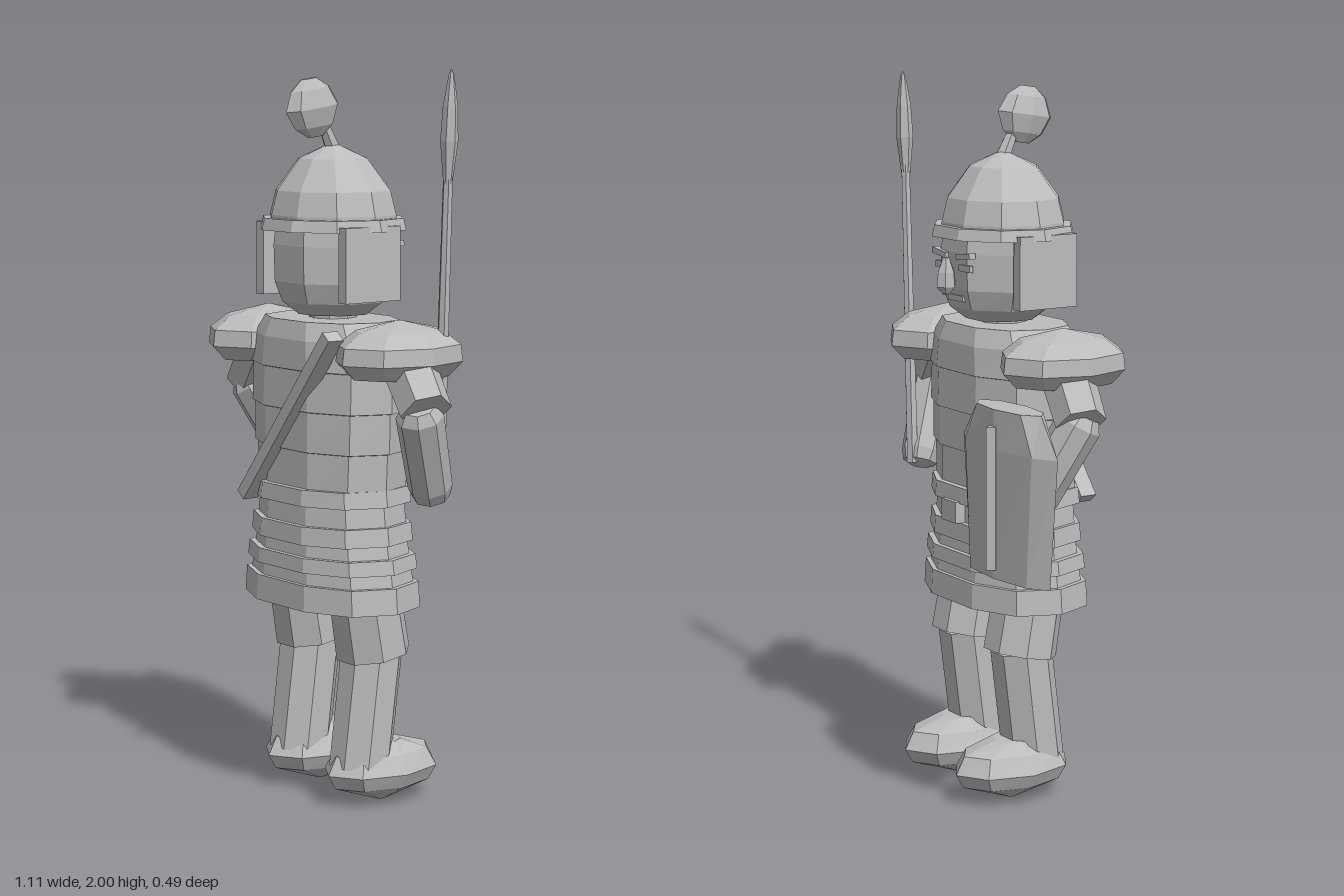
import * as THREE from 'three';

const grey = new THREE.MeshStandardMaterial({ color: 0xbcbcbc });
grey.name = 'plain grey';

const CX = 0.06, CZ = 0.055; // body axis

// Closed faceted solid from stacked oval sections [y, rx, rz]; pow < 1 squares the oval
function loft(sections, sides, { phase = 0, pow = 1 } = {}) {
  const sq = (v) => Math.sign(v) * Math.abs(v) ** pow;
  const rings = sections.map(([y, rx, rz = rx]) =>
    Array.from({ length: sides }, (_, i) => {
      const a = phase + (i / sides) * Math.PI * 2;
      return [rx * sq(Math.cos(a)), y, rz * sq(Math.sin(a))];
    }));
  const pos = [];
  const tri = (...pts) => pts.forEach((p) => pos.push(...p));
  const bottom = [0, sections[0][0], 0];
  const top = [0, sections[sections.length - 1][0], 0];
  for (let i = 0; i < sides; i++) {
    const j = (i + 1) % sides;
    tri(bottom, rings[0][i], rings[0][j]);
    for (let k = 0; k < rings.length - 1; k++) {
      const lo = rings[k], hi = rings[k + 1];
      tri(lo[i], hi[i], lo[j]);
      tri(lo[j], hi[i], hi[j]);
    }
    const last = rings[rings.length - 1];
    tri(top, last[j], last[i]);
  }
  const g = new THREE.BufferGeometry();
  g.setAttribute('position', new THREE.Float32BufferAttribute(pos, 3));
  g.computeVertexNormals();
  return g;
}

export function createModel() {
  const model = new THREE.Group();
  model.name = 'armouredSoldier';

  const add = (name, geometry, x = 0, y = 0, z = 0) => {
    const m = new THREE.Mesh(geometry, grey);
    m.name = name;
    m.position.set(x, y, z);
    model.add(m);
    return m;
  };
  const box = (name, w, h, d, x, y, z) => add(name, new THREE.BoxGeometry(w, h, d), x, y, z);

  // Faceted solid laid along the line from a to b; stations are [fraction, radius]
  const limb = (name, a, b, stations, sides = 8) => {
    const from = new THREE.Vector3(...a), dir = new THREE.Vector3(...b).sub(from);
    const len = dir.length();
    const g = loft(stations.map(([t, r]) => [t * len, r, r]), sides, { phase: Math.PI / sides });
    const m = add(name, g, ...a);
    m.quaternion.setFromUnitVectors(new THREE.Vector3(0, 1, 0), dir.normalize());
    return m;
  };

  // Torso: overlapping plates with a small lip under each one
  const waist = [[0.84, 0.24, 0.158], [0.98, 0.255, 0.162], [1.09, 0.266, 0.166],
    [1.2, 0.272, 0.168], [1.28, 0.25, 0.165], [1.33, 0.21, 0.15]];
  const plates = [];
  waist.forEach(([y, rx, rz], i) => {
    if (i > 0 && i < 4) plates.push([y - 0.002, rx - 0.008, rz - 0.006]);
    plates.push([y, rx, rz]);
  });
  add('cuirass', loft(plates, 10, { pow: 0.85 }), CX, 0, CZ + 0.005);

  // Skirt: flared bands alternating wide and narrow
  const bands = [[0.55, 0.62, 0.292, 0.184], [0.62, 0.655, 0.27, 0.168], [0.655, 0.695, 0.277, 0.183],
    [0.695, 0.73, 0.253, 0.164], [0.73, 0.78, 0.255, 0.182], [0.78, 0.835, 0.238, 0.162],
    [0.835, 0.88, 0.248, 0.18]];
  for (const [y0, y1, rx, rz] of bands) {
    add('skirtBand', loft([[y0, rx, rz], [y1, rx - 0.006, rz - 0.003]], 10, { pow: 0.85 }), CX, 0, CZ + 0.005);
  }
  box('beltBuckle', 0.075, 0.06, 0.03, CX, 0.81, -0.11);

  // Scabbard slung across the back
  const scabbard = box('scabbard', 0.035, 0.61, 0.05, 0.085, 1.07, 0.222);
  scabbard.rotation.z = -0.69;

  // Neck and head
  add('neck', loft([[1.3, 0.065], [1.37, 0.065]], 8), CX, 0, CZ);
  add('head', loft([[1.34, 0.1, 0.1], [1.375, 0.148, 0.145], [1.43, 0.172, 0.165],
    [1.53, 0.175, 0.168], [1.61, 0.165, 0.16]], 8, { phase: Math.PI / 8 }), CX, 0, CZ - 0.005);

  // Face, looking toward -z
  add('nose', loft([[-0.05, 0.01, 0.01], [-0.03, 0.024, 0.03], [0.01, 0.022, 0.026],
    [0.05, 0.01, 0.01]], 6, { phase: Math.PI / 6 }), CX, 1.468, -0.13);
  for (const s of [-1, 1]) {
    const brow = box('brow', 0.07, 0.016, 0.02, CX + s * 0.062, 1.525, -0.106);
    brow.rotation.z = s * 0.12;
    box('eye', 0.055, 0.018, 0.012, CX + s * 0.06, 1.492, -0.104);
  }
  box('mouth', 0.075, 0.016, 0.016, CX, 1.405, -0.093);

  // Helmet
  add('helmetDome', loft([[1.575, 0.186, 0.172], [1.61, 0.185, 0.172], [1.675, 0.168, 0.156],
    [1.76, 0.1, 0.095], [1.803, 0.004, 0.004]], 10), CX, 0, CZ);
  add('helmetRim', loft([[1.57, 0.213, 0.2], [1.602, 0.205, 0.192]], 10), CX, 0, CZ);
  for (const s of [-1, 1]) {
    box('cheekGuard', 0.032, 0.2, 0.185, CX + s * 0.185, 1.485, 0.073);
  }

  // Crest: stalk leaning back with a flattened tuft
  limb('crestStalk', [CX, 1.785, 0.055], [CX, 1.86, 0.09], [[0, 0.022], [1, 0.015]], 6);
  const tuft = add('crestTuft', loft([[-0.078, 0.014, 0.025], [-0.05, 0.033, 0.064], [0, 0.046, 0.088],
    [0.05, 0.033, 0.064], [0.078, 0.014, 0.025]], 8), CX, 1.897, 0.125);
  tuft.rotation.x = 0.15;

  // Shoulder guards
  for (const s of [-1, 1]) {
    add('shoulderGuard', loft([[1.195, 0.11, 0.15], [1.235, 0.144, 0.19], [1.28, 0.14, 0.184],
      [1.318, 0.1, 0.13], [1.345, 0.004, 0.004]], 8), CX + s * 0.293, 0, CZ + 0.003);
  }

  // Arms: [shoulder, elbow, forearm top, hand]
  const arms = [
    [[0.38, 1.25, 0.06], [0.505, 1.12, 0.09], [0.485, 1.13, 0.1], [0.41, 0.865, -0.01]],
    [[-0.25, 1.25, 0.05], [-0.37, 1.11, 0.025], [-0.355, 1.13, 0.045], [-0.275, 0.87, -0.075]],
  ];
  for (const [shoulder, elbow, top, hand] of arms) {
    limb('upperArm', shoulder, elbow, [[0, 0.075], [1, 0.07]], 6);
    limb('forearm', top, hand, [[0, 0.045], [0.1, 0.064], [0.85, 0.06], [0.96, 0.05], [1, 0.025]], 8);
  }

  // Legs and boots
  for (const s of [-1, 1]) {
    const x = CX + s * 0.138;
    limb('thigh', [x, 0.415, 0.022], [x, 0.6, 0.055], [[0, 0.104], [1, 0.1]], 8);
    limb('shin', [x, 0.1, 0.068], [x, 0.43, 0.026], [[0, 0.087], [1, 0.087]], 8);
    add('boot', loft([[0, 0.012, 0.015], [0.05, 0.1, 0.158], [0.09, 0.12, 0.182],
      [0.14, 0.092, 0.155], [0.172, 0.06, 0.05]], 8), x, 0, -0.006);
  }

  // Shield: lens-shaped plate with a central rib
  add('shield', loft([[0.71, 0.195, 0.052], [1.06, 0.228, 0.052], [1.165, 0.15, 0.05]], 8), -0.325, 0, -0.172);
  add('shieldRib', loft([[0.735, 0.015, 0.02], [1.12, 0.015, 0.02]], 4), -0.325, 0, -0.226);

  // Spear held in the other hand
  limb('spearShaft', [0.405, 0.88, -0.035], [0.452, 1.78, -0.025], [[0, 0.018], [1, 0.013]], 6);
  const tip = add('spearHead', loft([[0, 0.012, 0.012], [0.11, 0.024, 0.024], [0.2, 0.02, 0.02],
    [0.28, 0.008, 0.008], [0.295, 0.002, 0.002]], 6), 0.449, 1.705, -0.025);
  tip.rotation.z = -0.045;

  return model;
}
